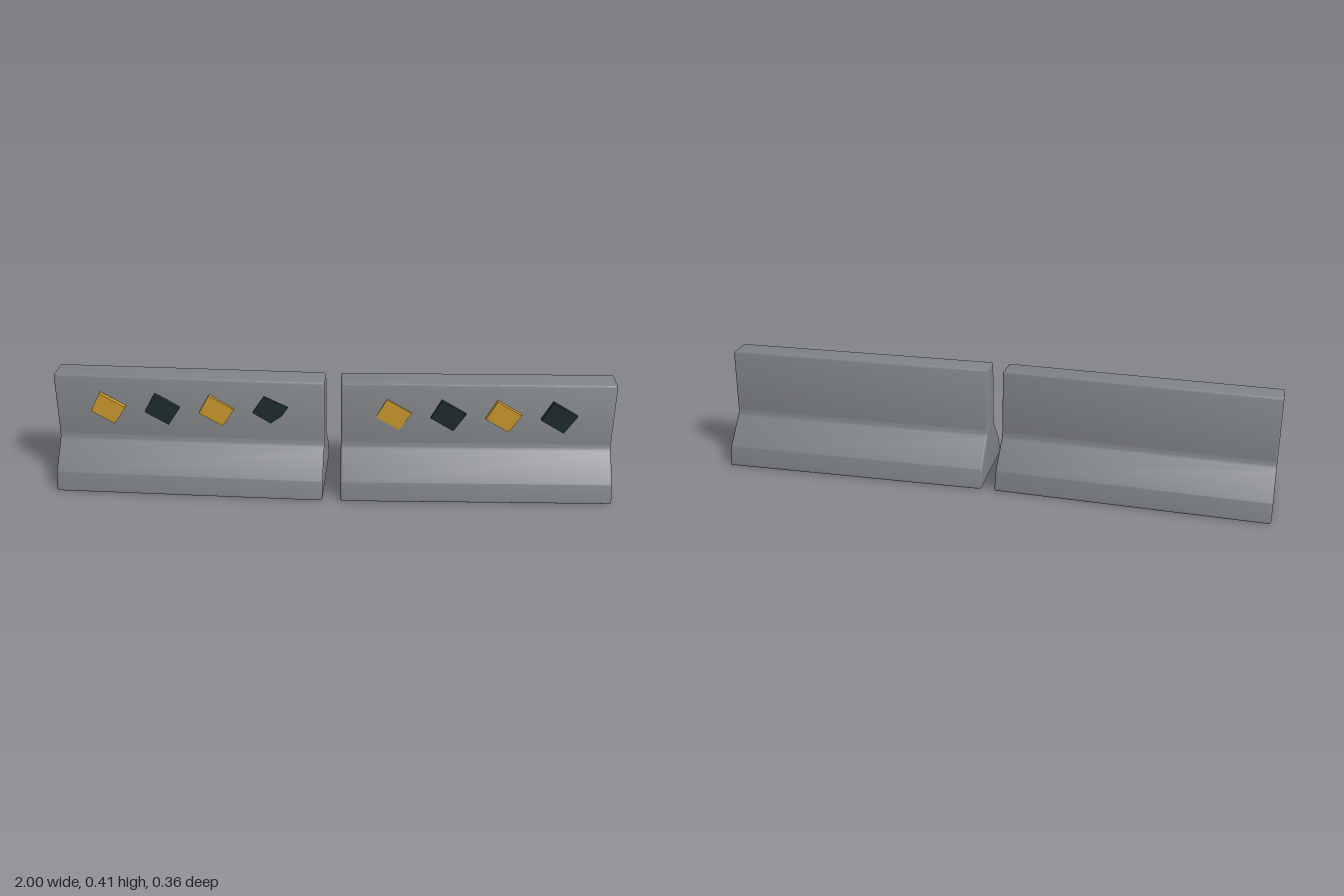
import * as THREE from 'three';
import { toCreasedNormals } from 'three/addons/utils/BufferGeometryUtils.js';

const LENGTH = 0.968;
const BEVEL = 0.007;
const TILT = 0.0258;

const concrete = new THREE.MeshStandardMaterial({ color: 0x808387 });
concrete.name = 'concrete grey';
const amber = new THREE.MeshStandardMaterial({ color: 0xd09c2e });
amber.name = 'amber';
const charcoal = new THREE.MeshStandardMaterial({ color: 0x1f2e2e });
charcoal.name = 'charcoal';

// Closed outline whose corners [x, y, radius] are rounded
function roundedShape(corners) {
  const shape = new THREE.Shape();
  const n = corners.length;
  corners.forEach(([x, y, r], i) => {
    const p = new THREE.Vector2(x, y);
    const toward = ([a, b]) => new THREE.Vector2(a, b).sub(p).setLength(r).add(p);
    const start = toward(corners[(i + n - 1) % n]);
    const end = toward(corners[(i + 1) % n]);
    if (i === 0) shape.moveTo(start.x, start.y);
    else shape.lineTo(start.x, start.y);
    shape.quadraticCurveTo(x, y, end.x, end.y);
  });
  shape.closePath();
  return shape;
}

// Barrier cross-section extruded along x, with softened ends
function barrierGeometry() {
  const half = [[0.167, 0, 0.008], [0.146, 0.073, 0.005], [0.056, 0.17, 0.016], [0.048, 0.412, 0.011]];
  const mirrored = half.map(([x, y, r]) => [-x, y, r]).reverse();
  const geometry = new THREE.ExtrudeGeometry(roundedShape([...half, ...mirrored]), {
    depth: LENGTH - 2 * BEVEL,
    bevelEnabled: true,
    bevelSize: BEVEL,
    bevelOffset: -BEVEL,
    bevelThickness: BEVEL,
    bevelSegments: 3,
    curveSegments: 4,
  });
  geometry.translate(0, 0, -LENGTH / 2 + BEVEL);
  geometry.rotateY(Math.PI / 2);
  return toCreasedNormals(geometry, 0.6);
}

// Tilted square marker outlines, relative to the marker centre
const SQUARE = [[-0.025, 0.06], [-0.063, -0.01], [0.02, -0.06], [0.063, 0.007]];
const CHIPPED = [[-0.022, 0.06], [-0.064, -0.004], [0.0, -0.046], [0.042, -0.015], [0.064, 0.02]];

function marker(x, outline, material) {
  const shape = new THREE.Shape(outline.map(([a, b]) => new THREE.Vector2(a, b)));
  const geometry = new THREE.ExtrudeGeometry(shape, { depth: 0.0155, bevelEnabled: false });
  const mesh = new THREE.Mesh(geometry, material);
  mesh.position.set(x, 0.295, 0.0485);
  return mesh;
}

export function createModel() {
  const model = new THREE.Group();
  model.name = 'roadBarriers';

  // Two barrier blocks, angled slightly towards each other
  const geometry = barrierGeometry();
  for (const [name, x, turn] of [['rightBarrier', -0.512, -TILT], ['leftBarrier', 0.512, TILT]]) {
    const block = new THREE.Mesh(geometry, concrete);
    block.name = name;
    block.position.x = x;
    block.rotation.y = turn;
    model.add(block);
  }

  // Alternating markers along the front
  const markers = new THREE.Group();
  markers.name = 'frontMarkers';
  [-0.805, -0.61, -0.415, -0.222, 0.217, 0.41, 0.605, 0.8].forEach((x, i) => {
    const mesh = marker(x, i === 3 ? CHIPPED : SQUARE, i % 2 ? charcoal : amber);
    mesh.name = i % 2 ? 'darkMarker' : 'amberMarker';
    markers.add(mesh);
  });
  model.add(markers);

  return model;
}
